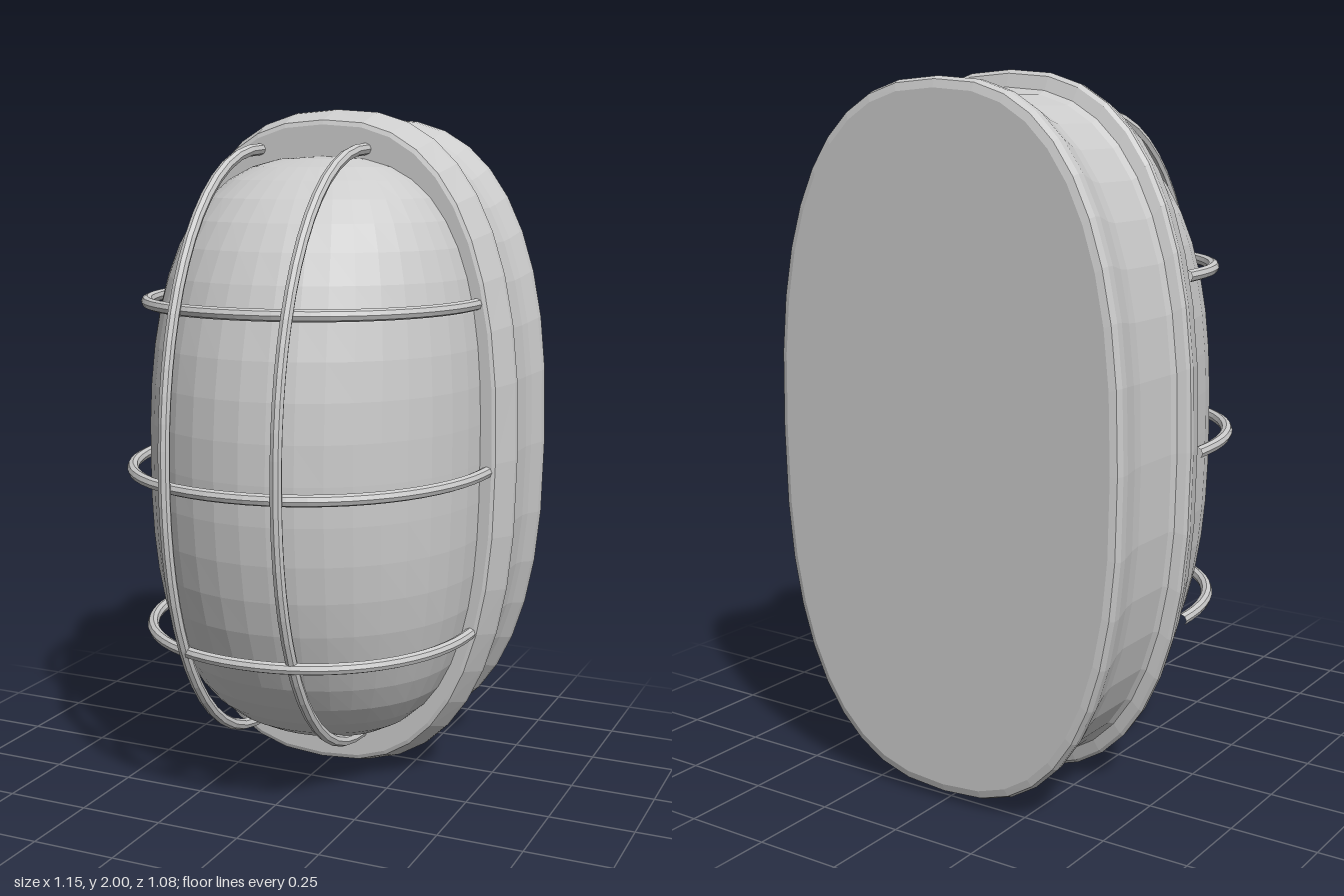
import * as THREE from 'three';

const material = new THREE.MeshStandardMaterial({ color: 0xcccccc, flatShading: true });
const BACK = -0.08; // plane where the glass and the guard meet the housing
const MID = 1.0;

// Skins a grid of points: rows of equal length
function loft(rows) {
  const n = rows[0].length, index = [];
  for (let i = 0; i < rows.length - 1; i++) {
    for (let j = 0; j < n - 1; j++) {
      const a = i * n + j, b = a + n;
      index.push(a, b, b + 1, a, b + 1, a + 1);
    }
  }
  const geometry = new THREE.BufferGeometry().setFromPoints(rows.flat());
  geometry.setIndex(index);
  geometry.computeVertexNormals();
  return geometry;
}

const power = (v, n) => Math.sign(v) * Math.abs(v) ** (2 / n);
const falloff = (t, n) => Math.max(0, 1 - Math.abs(t) ** n) ** (1 / n);

// Rounded oval outline in the xy plane
function oval(halfWidth, halfHeight, z, segments = 40) {
  const points = [];
  for (let j = 0; j <= segments; j++) {
    const a = (j % segments) / segments * Math.PI * 2;
    points.push(new THREE.Vector3(
      halfWidth * power(Math.cos(a), 2.5), MID + halfHeight * power(Math.sin(a), 2.5), z));
  }
  return points;
}

// Half hoop bulging towards +z; place(s, z) turns it upright or level
function hoop(halfSpan, depth, n, place) {
  const points = [];
  for (let i = 0; i <= 24; i++) {
    const a = Math.PI * i / 24;
    points.push(place(halfSpan * power(Math.cos(a), n), BACK + depth * power(Math.sin(a), n)));
  }
  const curve = new THREE.CatmullRomCurve3(points);
  return new THREE.TubeGeometry(curve, 32, 0.017, 8);
}

export function createModel() {
  const model = new THREE.Group();
  const add = (name, geometry, parent = model) => {
    const mesh = new THREE.Mesh(geometry, material);
    mesh.name = name;
    parent.add(mesh);
  };

  // Housing: front rim, waisted wall, rear flange and flat back
  const profile = [
    [0, 0, BACK], [0.53, 0.955, BACK], [0.54, 0.968, -0.085], [0.573, 0.997, -0.17],
    [0.574, 1, -0.187], [0.567, 0.99, -0.198], [0.545, 0.953, -0.21], [0.538, 0.942, -0.23],
    [0.538, 0.942, -0.39], [0.543, 0.952, -0.43], [0.558, 0.978, -0.49],
    [0.56, 0.98, -0.515], [0.553, 0.972, -0.533], [0.535, 0.95, -0.54], [0, 0, -0.54],
  ];
  add('housing', loft(profile.map(([w, h, z]) => oval(w, h, z))));

  // Glass: half dome of level elliptical sections
  const sections = [];
  for (let i = 0; i <= 24; i++) {
    const t = Math.cos(Math.PI * i / 24);
    const w = 0.495 * falloff(t, 2.8), d = 0.555 * falloff(t, 2.2);
    const row = [];
    for (let j = 0; j <= 20; j++) {
      const a = Math.PI * (j / 20 - 0.5);
      row.push(new THREE.Vector3(w * Math.sin(a), MID + 0.865 * t, BACK + d * Math.cos(a)));
    }
    sections.push(row);
  }
  add('glass', loft(sections));

  // Wire guard
  const guard = new THREE.Group();
  guard.name = 'wireGuard';
  model.add(guard);
  for (const x of [-0.2, 0.135]) {
    add('uprightWire', hoop(0.875, 0.6, 2.15,
      (s, z) => new THREE.Vector3(x, MID + 0.01 + s, z)), guard);
  }
  for (const [y, span, depth] of [[0.49, 0.485, 0.53], [0.975, 0.525, 0.603], [1.455, 0.485, 0.53]]) {
    add('crossWire', hoop(span, depth, 2.1,
      (s, z) => new THREE.Vector3(s - 0.01, y, z)), guard);
  }
  return model;
}
